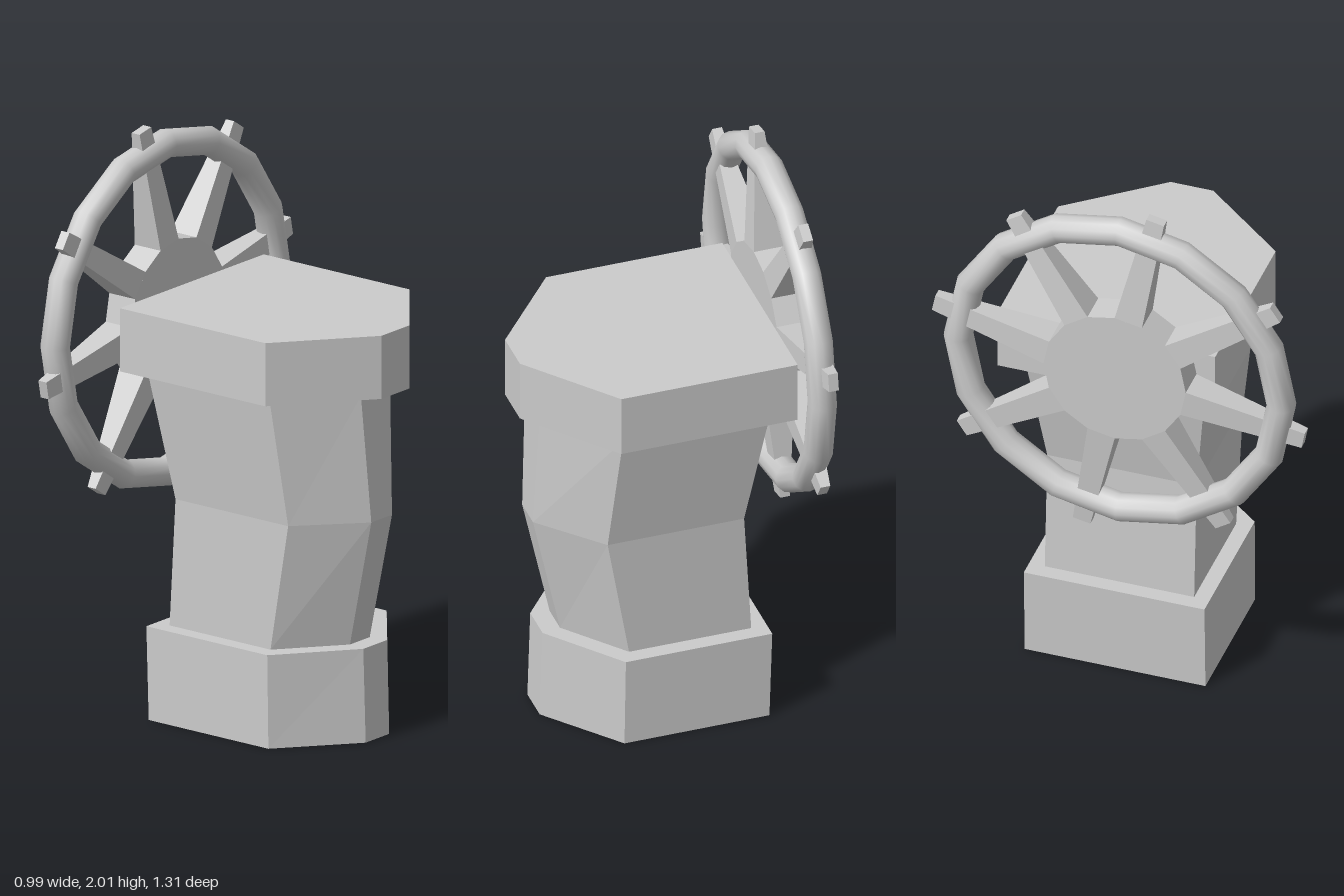
import * as THREE from 'three';

const flat = new THREE.MeshStandardMaterial({ color: 0xcccccc, flatShading: true });
const smooth = new THREE.MeshStandardMaterial({ color: 0xcccccc });

// Six-sided outline: square on the left, pointed with a blunt nose on the right.
// Section: [y, left, shoulder, nose, front, noseFront, noseBack, back]
function outline([y, left, shoulder, nose, front, noseFront, noseBack, back]) {
  return [
    [left, y, front], [shoulder, y, front], [nose, y, noseFront],
    [nose, y, noseBack], [shoulder, y, back], [left, y, back],
  ];
}

// Closed solid joining the sections from bottom to top.
function loft(name, sections) {
  const rings = sections.map(outline);
  const n = rings[0].length;
  const pos = [];
  const tri = (a, b, c) => pos.push(...a, ...b, ...c);
  for (let s = 0; s < rings.length - 1; s++) {
    for (let i = 0; i < n; i++) {
      const j = (i + 1) % n;
      const lo = rings[s], hi = rings[s + 1];
      tri(lo[i], lo[j], hi[j]);
      tri(lo[i], hi[j], hi[i]);
    }
  }
  const bottom = rings[0], top = rings[rings.length - 1];
  for (let i = 1; i < n - 1; i++) {
    tri(bottom[0], bottom[i + 1], bottom[i]);
    tri(top[0], top[i], top[i + 1]);
  }
  const geo = new THREE.BufferGeometry();
  geo.setAttribute('position', new THREE.Float32BufferAttribute(pos, 3));
  geo.computeVertexNormals();
  const mesh = new THREE.Mesh(geo, flat);
  mesh.name = name;
  return mesh;
}

// Spoke along +x, narrowing in width and depth towards its tip.
function spokeGeometry(inner, outer) {
  const geo = new THREE.BoxGeometry(outer - inner, 0.098, 0.11);
  geo.translate((inner + outer) / 2, 0, 0);
  const p = geo.attributes.position;
  for (let i = 0; i < p.count; i++) {
    if (p.getX(i) > (inner + outer) / 2) {
      p.setY(i, p.getY(i) * 0.64);
      p.setZ(i, p.getZ(i) * 0.31);
    }
  }
  geo.computeVertexNormals();
  return geo;
}

function createWheel() {
  const wheel = new THREE.Group();
  wheel.name = 'wheel';

  // Rim, very slightly out of true
  const rim = new THREE.Mesh(new THREE.TorusGeometry(0.572, 0.05, 12, 16), smooth);
  rim.name = 'rim';
  rim.rotation.y = -0.022;
  wheel.add(rim);

  // Sixteen-sided hub
  const hubGeo = new THREE.CylinderGeometry(0.25, 0.25, 0.11, 16);
  hubGeo.rotateX(Math.PI / 2);
  const hub = new THREE.Mesh(hubGeo, flat);
  hub.name = 'hub';
  wheel.add(hub);

  // Spokes grow from every other hub side and pass through the rim
  const geo = spokeGeometry(0.245, 0.662);
  for (let i = 0; i < 8; i++) {
    const spoke = new THREE.Mesh(geo, flat);
    spoke.name = 'spoke';
    spoke.rotation.z = Math.PI / 16 + (i * Math.PI) / 4;
    wheel.add(spoke);
  }

  wheel.position.set(-0.437, 1.35, 0);
  wheel.rotation.y = Math.PI / 2;
  return wheel;
}

export function createModel() {
  const model = new THREE.Group();
  model.name = 'wheeledPillar';
  model.add(
    loft('base', [
      [0, -0.305, 0.205, 0.415, 0.255, 0, -0.125, -0.38],
      [0.325, -0.315, 0.2, 0.405, 0.255, 0, -0.125, -0.38],
    ]),
    loft('column', [
      [0.325, -0.26, 0.17, 0.34, 0.2, -0.01, -0.115, -0.325],
      [0.77, -0.235, 0.245, 0.435, 0.2, -0.005, -0.115, -0.325],
      [1.215, -0.31, 0.21, 0.415, 0.255, 0.025, -0.13, -0.38],
    ]),
    loft('cap', [
      [1.215, -0.38, 0.24, 0.49, 0.315, 0.01, -0.14, -0.45],
      [1.435, -0.38, 0.24, 0.49, 0.315, 0.01, -0.14, -0.45],
    ]),
    createWheel(),
  );
  return model;
}
